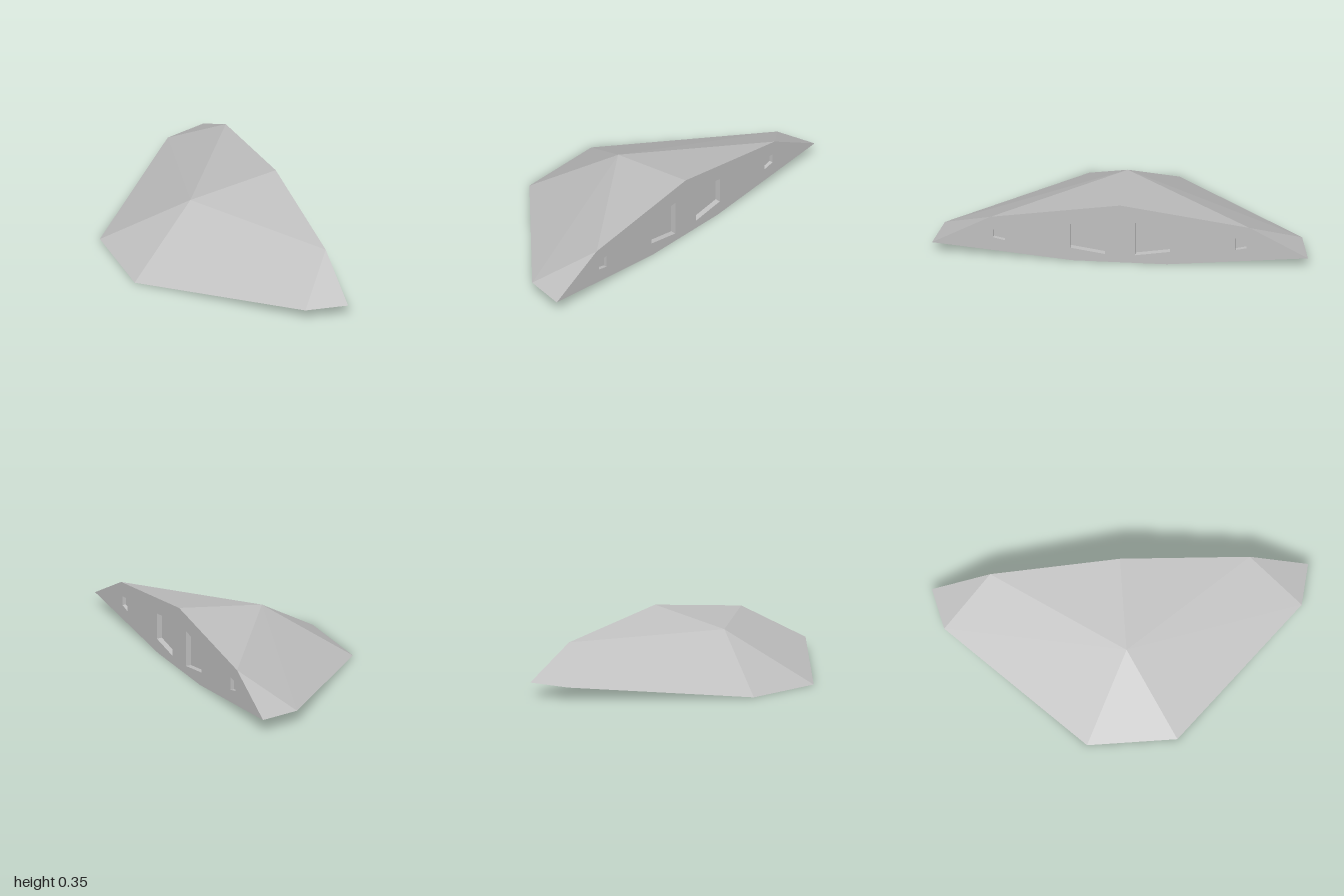
import * as THREE from 'three';

const hullGray = new THREE.MeshStandardMaterial({ color: 0xbfbfbf });
hullGray.name = 'hullGray';

// Flat faces from convex corner loops, wound away from (sign 1) or towards (sign -1) a centre
function facets(loops, centre, sign) {
  const out = [];
  const n = new THREE.Vector3(), e = new THREE.Vector3();
  for (const loop of loops) {
    for (let i = 1; i < loop.length - 1; i++) {
      const tri = [loop[0], loop[i], loop[i + 1]].map((p) => new THREE.Vector3(...p));
      n.subVectors(tri[1], tri[0]).cross(e.subVectors(tri[2], tri[0]));
      if (n.dot(e.subVectors(tri[0], centre)) * sign < 0) tri.reverse();
      tri.forEach((p) => out.push(p.x, p.y, p.z));
    }
  }
  const g = new THREE.BufferGeometry();
  g.setAttribute('position', new THREE.Float32BufferAttribute(out, 3));
  g.computeVertexNormals();
  return g;
}

export function createModel() {
  const model = new THREE.Group();
  model.name = 'wedgeShip';
  const add = (name, geometry) => {
    const mesh = new THREE.Mesh(geometry, hullGray);
    mesh.name = name;
    model.add(mesh);
  };
  const back = 0.455;
  const apex = [-0.035, 0.28, 0];
  const peak = [back, 0.35, 0];
  const corners = (s) => ({
    nose: [-back, 0, 0.24 * s],
    wing: [0.23, 0.068, 0.95 * s],
    tip: [back, 0.074, s],
    shoulder: [back, 0.246, 0.69 * s],
    keel: [back, 0, 0.25 * s],
  });
  const centre = new THREE.Vector3(0.2, 0.12, 0);
  const a = corners(1), b = corners(-1);

  // Faceted hull
  add('nosePlate', facets([[a.nose, b.nose, apex]], centre, 1));
  add('bellyPlate', facets([[a.nose, b.nose, b.keel, a.keel]], centre, 1));
  for (const [side, c] of [['front', a], ['rear', b]]) {
    add(side + 'UpperHull', facets([
      [c.nose, c.wing, apex],
      [apex, c.wing, c.shoulder],
      [c.wing, c.tip, c.shoulder],
      [apex, c.shoulder, peak],
    ], centre, 1));
    add(side + 'LowerHull', facets([[c.nose, c.wing, c.tip, c.keel]], centre, 1));
  }

  // Stern wall, drawn in (-z, y), with openings for the recessed bays
  const stern = new THREE.Shape(
    [a.tip, a.keel, b.keel, b.tip, b.shoulder, peak, a.shoulder].map((p) => new THREE.Vector2(-p[2], p[1])));
  const bays = [
    { name: 'LargeBay', depth: 0.03, outline: [[0.08, 0.047], [0.265, 0.077], [0.265, 0.222], [0.08, 0.246]] },
    { name: 'SmallBay', depth: 0.02, outline: [[0.613, 0.106], [0.673, 0.12], [0.673, 0.17], [0.613, 0.177]] },
  ];
  for (const [side, s] of [['front', 1], ['rear', -1]]) {
    for (const { name, depth, outline } of bays) {
      stern.holes.push(new THREE.Path(outline.map(([z, y]) => new THREE.Vector2(-z * s, y))));
      // Bay floor and four inward-facing walls
      const rim = outline.map(([z, y]) => [back, y, z * s]);
      const floor = outline.map(([z, y]) => [back - depth, y, z * s]);
      const walls = rim.map((p, i) => [p, rim[(i + 1) % 4], floor[(i + 1) % 4], floor[i]]);
      const mid = new THREE.Vector3(back - depth / 2, 0, 0);
      outline.forEach(([z, y]) => { mid.y += y / 4; mid.z += z * s / 4; });
      add(side + name, facets([floor, ...walls], mid, -1));
    }
  }
  add('sternWall', new THREE.ShapeGeometry(stern).rotateY(Math.PI / 2).translate(back, 0, 0));
  return model;
}
